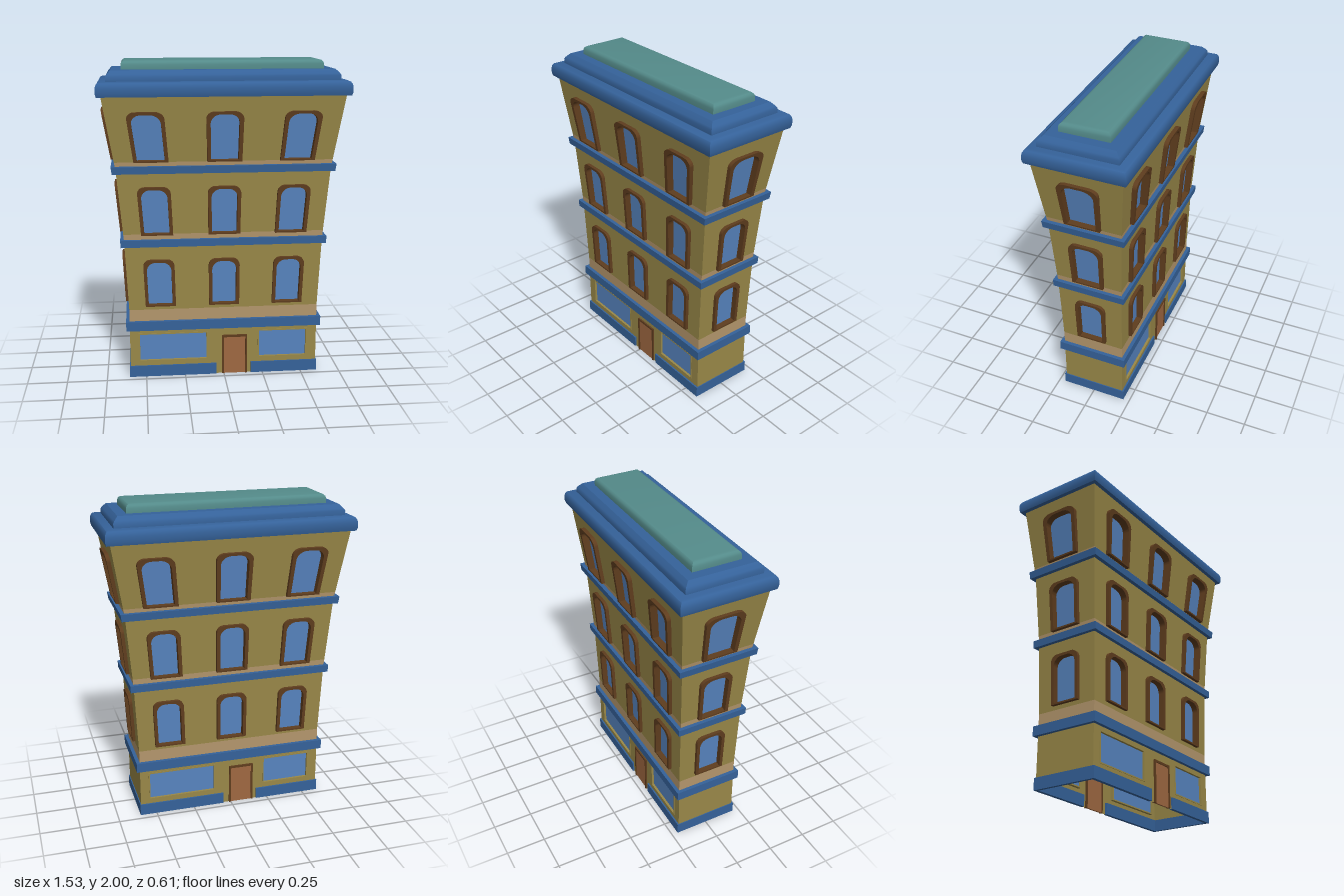
import * as THREE from 'three';
import { toCreasedNormals } from 'three/addons/utils/BufferGeometryUtils.js';

const mat = (name, color, side = THREE.FrontSide) => {
  const m = new THREE.MeshStandardMaterial({ color, side });
  m.name = name;
  return m;
};

// Flare of the building: height, width factor, depth factor
const FLARE = [[0, 1, 1], [0.45, 1, 1], [0.9, 1.035, 1.04], [1.35, 1.1, 1.14], [1.8, 1.225, 1.37]];
function flare(geo) {
  const p = geo.attributes.position;
  for (let i = 0; i < p.count; i++) {
    const y = p.getY(i);
    let k = 1;
    while (k < FLARE.length - 1 && y > FLARE[k][0]) k++;
    const [y0, a0, b0] = FLARE[k - 1], [y1, a1, b1] = FLARE[k];
    const t = (y - y0) / (y1 - y0);
    p.setX(i, p.getX(i) * (a0 + (a1 - a0) * t));
    p.setZ(i, p.getZ(i) * (b0 + (b1 - b0) * t));
  }
  return toCreasedNormals(geo, 0.6);
}

// Outline of an opening, with rounded top corners of radius r
function outline(x0, x1, y0, y1, r = 0, Type = THREE.Shape) {
  const s = new Type();
  s.moveTo(x0, y0);
  s.lineTo(x1, y0);
  s.lineTo(x1, y1 - r);
  if (r) s.absarc(x1 - r, y1 - r, r, 0, Math.PI / 2, false);
  else s.lineTo(x1, y1);
  s.lineTo(x0 + r, y1);
  if (r) s.absarc(x0 + r, y1 - r, r, Math.PI / 2, Math.PI, false);
  else s.lineTo(x0, y1);
  s.closePath();
  return s;
}

// Stack of mitred rectangular rings [halfWidth, halfDepth, y], closed at both ends
function stack(rings) {
  const pos = [], idx = [], n = rings.length;
  for (const [w, d, y] of rings) pos.push(-w, y, d, w, y, d, w, y, -d, -w, y, -d);
  for (let i = 0; i < n - 1; i++) for (let j = 0; j < 4; j++) {
    const a = i * 4 + j, b = i * 4 + (j + 1) % 4;
    idx.push(a, b, b + 4, a, b + 4, a + 4);
  }
  const t = (n - 1) * 4;
  idx.push(0, 2, 1, 0, 3, 2, t, t + 1, t + 2, t, t + 2, t + 3);
  const g = new THREE.BufferGeometry();
  g.setAttribute('position', new THREE.Float32BufferAttribute(pos, 3));
  g.setIndex(idx);
  return toCreasedNormals(g, 0.6);
}

export function createModel() {
  const model = new THREE.Group();
  model.name = 'building';
  const wall = mat('olive wall', 0x998848, THREE.DoubleSide);
  const stone = mat('beige stone', 0xb3966c, THREE.DoubleSide);
  const trim = mat('blue trim', 0x35629a);
  const glass = mat('window glass', 0x5784bf, THREE.DoubleSide);
  const frame = mat('dark brown frame', 0x5f3d1e);
  const wood = mat('door wood', 0x9f6841);
  const roof = mat('teal roof', 0x548b8a);

  const add = (name, geo, material) => {
    const m = new THREE.Mesh(geo, material);
    m.name = name;
    model.add(m);
  };

  // Four facades; opposite ones are the same, turned half way round
  for (let f = 0; f < 4; f++) {
    const long = f % 2 === 0, half = long ? 0.6 : 0.2, out = long ? 0.2 : 0.6;
    const face = (name, geo, material, z = 0) =>
      add(name, flare(geo.translate(0, 0, out + z).rotateY(f * Math.PI / 2)), material);
    const flat = (name, shape, material, z) => face(name, new THREE.ShapeGeometry(shape, 6), material, z);
    const solid = (name, shape, material, z0, z1) => face(name,
      new THREE.ExtrudeGeometry(shape, { depth: z1 - z0, bevelEnabled: false, curveSegments: 6 }), material, z0);

    // Ground floor wall with shop windows and door
    const ground = outline(-half, half, 0, 0.36);
    if (long) {
      for (const [a, b] of [[-0.545, -0.105], [0.22, 0.54]]) {
        ground.holes.push(outline(a + 0.004, b - 0.004, 0.104, 0.286, 0, THREE.Path));
        const surround = outline(a, b, 0.1, 0.29);
        surround.holes.push(outline(a + 0.008, b - 0.008, 0.108, 0.282, 0, THREE.Path));
        solid('shopWindowSurround', surround, wall, -0.02, 0.003);
        flat('shopWindowGlass', outline(a + 0.004, b - 0.004, 0.104, 0.286), glass, -0.012);
      }
      const jamb = new THREE.Shape();
      [[-0.012, 0], [0, 0], [0, 0.248], [0.138, 0.248], [0.138, 0], [0.15, 0], [0.15, 0.262], [-0.012, 0.262]]
        .forEach(([x, y], i) => (i ? jamb.lineTo(x, y) : jamb.moveTo(x, y)));
      solid('doorFrame', jamb, frame, -0.01, 0.01);
      solid('door', outline(0, 0.138, 0, 0.248), wood, -0.008, 0.004);
    }
    flat('groundWall', ground, wall);

    // Plinth, broken at the door
    for (const [a, b] of long ? [[-0.606, -0.05], [0.175, 0.606]] : [[-0.2, 0.2]])
      solid('plinth', outline(a, b, 0, 0.072), trim, -0.012, long ? 0.01 : 0.006);

    // Upper storeys: stone strip, wall with arched openings, framed windows
    for (const [y0, y1, y2, sill] of [[0.36, 0.45, 0.9, 0.475], [0.9, 0.945, 1.35, 0.94], [1.35, 1.4, 1.8, 1.4]]) {
      flat('stoneStrip', outline(-half, half, y0, y1), stone);
      const storey = outline(-half, half, y1, y2);
      for (const c of long ? [-0.4, 0, 0.4] : [0]) {
        const top = sill + 0.305;
        const arch = (inset, r, Type) =>
          outline(c - 0.095 + inset, c + 0.095 - inset, sill + inset * 0.5, top - inset * 0.8, r, Type);
        storey.holes.push(arch(0.013, 0.05, THREE.Path));
        const casing = arch(0, 0.045);
        casing.holes.push(arch(0.02, 0.055, THREE.Path));
        solid('windowFrame', casing, frame, -0.022, 0.02);
        flat('windowGlass', arch(0.015, 0.05), glass, -0.016);
      }
      flat('storeyWall', storey, wall);
    }
  }

  // Bands between the storeys
  for (const [y0, y1] of [[0.315, 0.375], [0.866, 0.911], [1.33, 1.375]])
    add('storeyBand', flare(new THREE.BoxGeometry(1.244, y1 - y0, 0.444).translate(0, (y0 + y1) / 2, 0)), trim);

  // Cornice, upper cornice step and roof cap
  add('cornice', stack([[0.759, 0.298, 1.795], [0.765, 0.303, 1.815], [0.765, 0.303, 1.845],
    [0.761, 0.299, 1.862], [0.752, 0.29, 1.876], [0.738, 0.276, 1.882]]), trim);
  add('corniceStep', stack([[0.705, 0.241, 1.88], [0.705, 0.241, 1.91], [0.698, 0.234, 1.922],
    [0.675, 0.211, 1.946]]), trim);
  add('roofCap', stack([[0.615, 0.153, 1.944], [0.615, 0.153, 1.975], [0.61, 0.148, 1.988],
    [0.6, 0.138, 1.997], [0.586, 0.124, 2]]), roof);

  return model;
}
